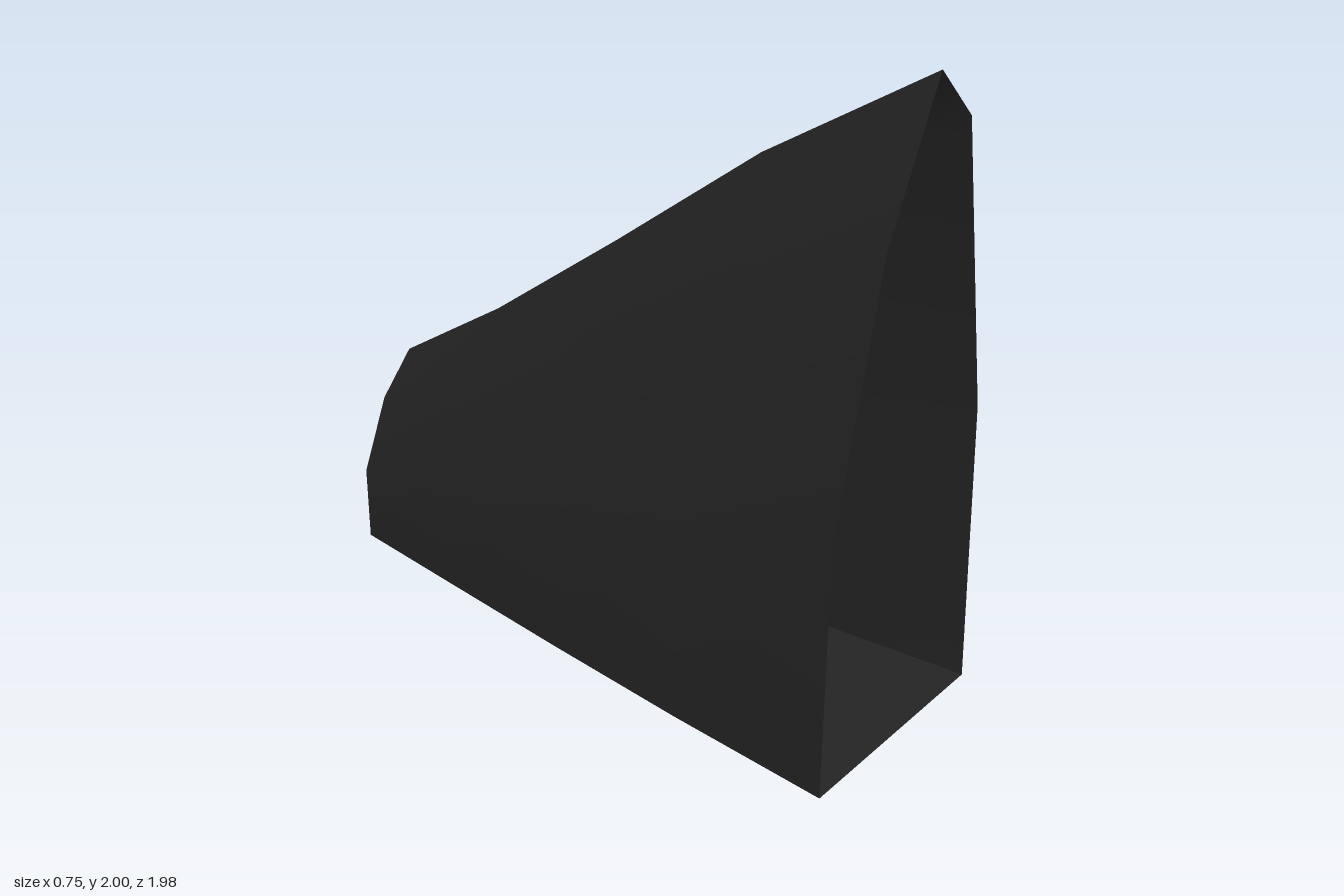
import * as THREE from 'three';

// Cross-section as fractions of half width and height, left foot over the ridge to right foot
const LEFT = [[-1, 0], [-1, 0.405], [-0.55, 0.785], [0, 1]];
const RIGHT = [[0, 1], [0.43, 0.92], [0.87, 0.47], [1, 0]];
const FLOOR = [[1, 0], [-1, 0]];

// Stations from the open front to the closed back
const STATIONS = [
  { z: 0.99, left: 0.38, right: 0.375, height: 2.0 },
  { z: 0.45, left: 0.35, right: 0.317, height: 1.66 },
  { z: -0.06, left: 0.31, right: 0.284, height: 1.27 },
  { z: -0.56, left: 0.265, right: 0.255, height: 0.9 },
  { z: -0.985, left: 0.226, right: 0.22, height: 0.625 },
];

const place = ([u, v], s) => [u * (u < 0 ? s.left : s.right), v * s.height, s.z];

function makeGeometry(positions, indices) {
  const geometry = new THREE.BufferGeometry();
  geometry.setAttribute('position', new THREE.Float32BufferAttribute(positions, 3));
  geometry.setIndex(indices);
  geometry.computeVertexNormals();
  return geometry;
}

// Sweep a section through all the stations
function loft(section) {
  const positions = STATIONS.flatMap((s) => section.flatMap((p) => place(p, s)));
  const indices = [];
  const n = section.length;
  for (let j = 0; j < STATIONS.length - 1; j++) {
    for (let i = 0; i < n - 1; i++) {
      const a = j * n + i, b = a + n;
      indices.push(a, a + 1, b, a + 1, b + 1, b);
    }
  }
  return makeGeometry(positions, indices);
}

// Flat fan that closes the rear station
function endCap() {
  const outline = [...LEFT, ...RIGHT.slice(1)];
  const rear = STATIONS[STATIONS.length - 1];
  const indices = [];
  for (let i = 1; i < outline.length - 1; i++) indices.push(0, i, i + 1);
  return makeGeometry(outline.flatMap((p) => place(p, rear)), indices);
}

export function createModel() {
  const group = new THREE.Group();
  group.name = 'taperedHood';
  const black = new THREE.MeshStandardMaterial({ color: 0x242424, side: THREE.DoubleSide });
  black.name = 'charcoal black';

  const parts = {
    rightWall: loft(LEFT), // the model's own right is -x
    leftWall: loft(RIGHT),
    floor: loft(FLOOR),
    backWall: endCap(),
  };
  for (const [name, geometry] of Object.entries(parts)) {
    const mesh = new THREE.Mesh(geometry, black);
    mesh.name = name;
    group.add(mesh);
  }
  return group;
}
